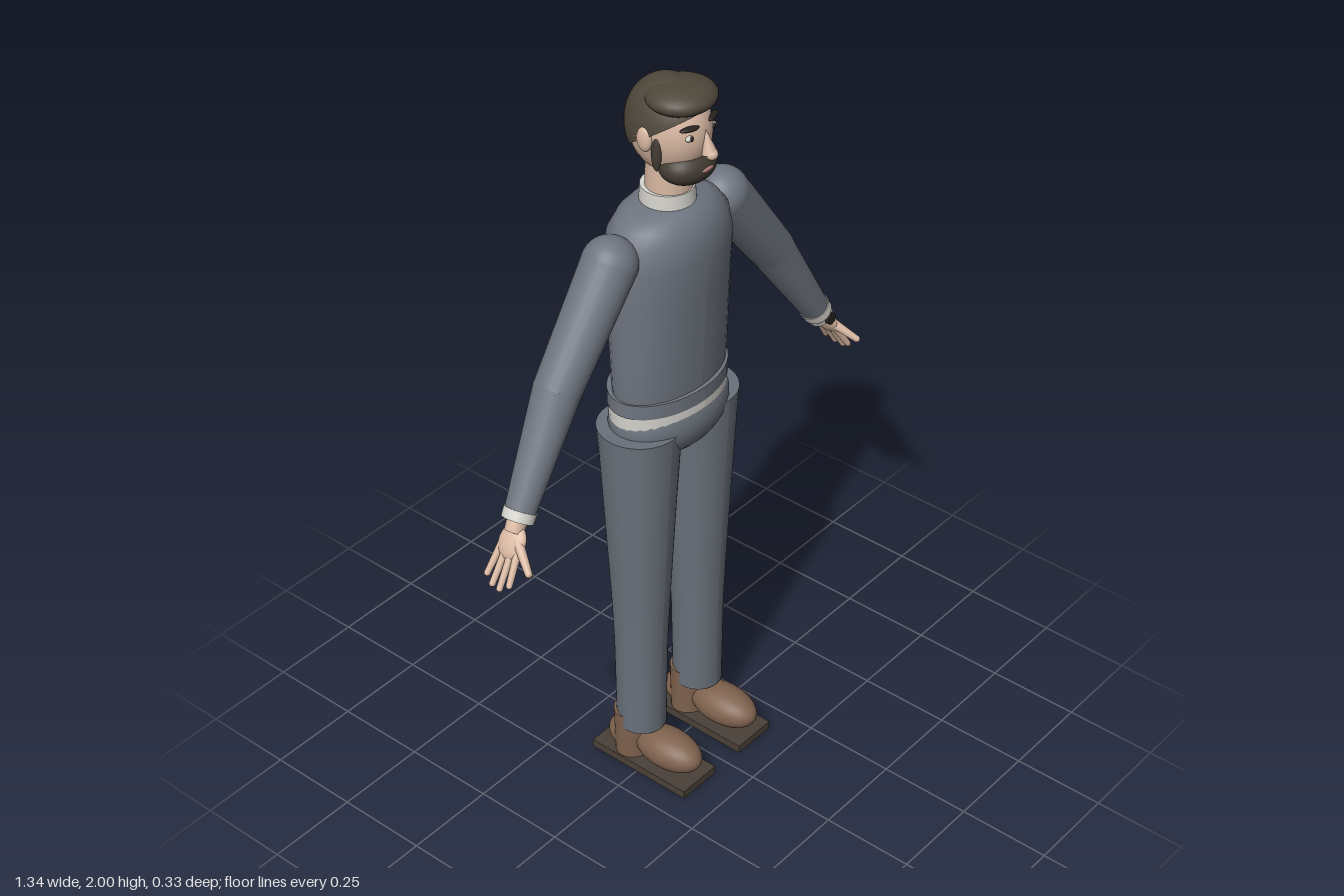
import * as THREE from 'three';

const mat = (name, color) => Object.assign(new THREE.MeshStandardMaterial({ color }), { name });

export function createModel() {
  const M = {
    knit: mat('sweater grey', 0x6f7580),
    cloth: mat('trouser grey', 0x6a717a),
    white: mat('shirt white', 0xd6d4ce),
    skin: mat('skin', 0xd8b8a2),
    hair: mat('hair brown', 0x4f473b),
    beard: mat('beard brown', 0x433b33),
    leather: mat('shoe leather', 0x80634f),
    sole: mat('sole brown', 0x4a4038),
    dark: mat('dark detail', 0x25211e),
    lip: mat('lip', 0xb98078),
  };
  M.hair.side = THREE.DoubleSide;
  const root = new THREE.Group();
  root.name = 'standingMan';
  const V = (x, y, z) => new THREE.Vector3(x, y, z);

  const add = (name, geo, material, pos, parent = root) => {
    const m = new THREE.Mesh(geo, material);
    m.name = name;
    if (pos) m.position.copy(pos);
    parent.add(m);
    return m;
  };
  const ellipsoid = (name, material, c, rx, ry, rz, parent) =>
    add(name, new THREE.SphereGeometry(1, 32, 20).scale(rx, ry, rz), material, c, parent);

  // Stacked elliptical rings [y, rx, rz, cx, cz], from bottom to top, with caps
  const loft = (rings) => {
    const n = rings.length - 1;
    const g = new THREE.CylinderGeometry(1, 1, 1, 36, n);
    const p = g.attributes.position;
    for (let i = 0; i < p.count; i++) {
      const [y, rx, rz, cx, cz] = rings[Math.round((p.getY(i) + 0.5) * n)];
      p.setXYZ(i, p.getX(i) * rx + cx, y, p.getZ(i) * rz + cz);
    }
    g.computeVertexNormals();
    return g;
  };
  // Tapered round bar from a to b
  const bar = (name, material, a, ra, b, rb, parent) => {
    const d = b.clone().sub(a);
    const m = add(name, new THREE.CylinderGeometry(rb, ra, d.length(), 24), material,
      a.clone().lerp(b, 0.5), parent);
    m.quaternion.setFromUnitVectors(V(0, 1, 0), d.normalize());
    return m;
  };

  // Torso
  add('sweater', loft([
    [1.14, 0.172, 0.1, 0, -0.033], [1.2, 0.18, 0.104, 0, -0.033], [1.32, 0.182, 0.111, 0, -0.034],
    [1.45, 0.185, 0.12, 0, -0.036], [1.55, 0.187, 0.127, 0, -0.036], [1.61, 0.175, 0.12, 0, -0.036],
    [1.645, 0.148, 0.104, 0, -0.036], [1.665, 0.115, 0.086, 0, -0.036], [1.672, 0.07, 0.07, 0, -0.036],
  ]), M.knit);
  add('sweaterHem', loft([
    [1.14, 0.183, 0.117, 0, -0.038], [1.18, 0.183, 0.118, 0, -0.038],
  ]), M.knit);
  add('shirtTail', loft([
    [1.09, 0.178, 0.116, 0, -0.037], [1.145, 0.18, 0.117, 0, -0.038],
  ]), M.white);
  ellipsoid('pelvis', M.cloth, V(0, 1.08, -0.035), 0.182, 0.112, 0.122);
  add('collar', new THREE.CylinderGeometry(0.066, 0.069, 0.05, 32), M.white, V(0, 1.685, -0.037));
  add('neck', new THREE.CylinderGeometry(0.056, 0.058, 0.13, 32), M.skin, V(0, 1.74, -0.032));

  // Head, hair and beard
  const head = new THREE.Group();
  head.name = 'head';
  root.add(head);
  ellipsoid('skull', M.skin, V(0, 1.87, -0.03), 0.088, 0.12, 0.108, head);
  add('hairCap', new THREE.SphereGeometry(1, 36, 16, 0, Math.PI * 2, 0, Math.PI / 2)
    .rotateX(-0.54).scale(0.095, 0.127, 0.114), M.hair, V(0, 1.87, -0.03), head);
  ellipsoid('fringe', M.hair, V(0, 1.958, 0.005), 0.088, 0.036, 0.083, head);
  ellipsoid('beard', M.beard, V(0, 1.787, 0.023), 0.077, 0.047, 0.063, head);
  ellipsoid('mouth', M.lip, V(0, 1.792, 0.083), 0.02, 0.006, 0.005, head);
  const bridge = add('noseBridge', new THREE.ConeGeometry(0.019, 0.06, 16), M.skin, V(0, 1.865, 0.083), head);
  bridge.rotation.x = -0.2;
  ellipsoid('noseTip', M.skin, V(0, 1.835, 0.095), 0.015, 0.014, 0.015, head);

  for (const s of [1, -1]) {
    const side = s > 0 ? 'left' : 'right';
    const P = (x, y, z) => V(s * x, y, z);

    // Face details
    ellipsoid(side + 'Ear', M.skin, P(0.09, 1.868, -0.03), 0.012, 0.032, 0.021, head);
    ellipsoid(side + 'Sideburn', M.beard, P(0.081, 1.835, -0.002), 0.009, 0.045, 0.014, head);
    ellipsoid(side + 'Eye', M.white, P(0.04, 1.882, 0.063), 0.013, 0.008, 0.007, head);
    ellipsoid(side + 'Pupil', M.dark, P(0.04, 1.882, 0.068), 0.006, 0.007, 0.004, head);
    const brow = ellipsoid(side + 'Eyebrow', M.dark, P(0.042, 1.907, 0.064), 0.026, 0.006, 0.009, head);
    brow.rotation.y = s * 0.35;

    // Arm with shoulder, elbow and shirt cuff
    const arm = new THREE.Group();
    arm.name = side + 'Arm';
    root.add(arm);
    const shoulder = P(0.205, 1.585, -0.04), elbow = P(0.398, 1.335, -0.037), wrist = P(0.562, 1.08, -0.017);
    const dir = wrist.clone().sub(elbow).normalize();
    const along = (t, z = 0) => wrist.clone().addScaledVector(dir, t).add(V(0, 0, z));
    ellipsoid('shoulder', M.knit, shoulder, 0.069, 0.069, 0.069, arm);
    bar('upperSleeve', M.knit, shoulder, 0.069, elbow, 0.059, arm);
    ellipsoid('elbow', M.knit, elbow, 0.059, 0.059, 0.059, arm);
    bar('lowerSleeve', M.knit, elbow, 0.059, wrist, 0.038, arm);
    bar('cuff', M.white, along(-0.01), 0.041, along(0.016), 0.04, arm);
    bar('wrist', M.skin, along(0), 0.026, along(0.045), 0.024, arm);

    // Hand: flat palm, four fingers and a thumb
    const palm = ellipsoid('palm', M.skin, along(0.068, 0.004), 0.017, 0.044, 0.038, arm);
    palm.quaternion.setFromUnitVectors(V(0, -1, 0), P(0.57, -0.82, 0).normalize());
    [[0.028, 0.166], [0.009, 0.183], [-0.011, 0.18], [-0.031, 0.163]].forEach(([z, len], i) => {
      const tip = along(len, z * 1.2), base = along(0.08, z * 0.85);
      tip.z = -0.007 + z * 1.2;
      base.z = -0.008 + z * 0.85;
      bar('finger' + (i + 1), M.skin, base, 0.01, tip, 0.008, arm);
      ellipsoid('fingertip' + (i + 1), M.skin, tip, 0.008, 0.008, 0.008, arm);
    });
    const thumbTip = P(0.63, 0.985, 0.07);
    bar('thumb', M.skin, P(0.597, 1.03, 0.008), 0.013, thumbTip, 0.009, arm);
    ellipsoid('thumbTip', M.skin, thumbTip, 0.009, 0.009, 0.009, arm);

    // Watch on the left wrist only
    if (s > 0) {
      bar('watchStrap', M.white, along(0.024), 0.036, along(0.038), 0.035, arm);
      bar('watchCase', M.dark, along(0.03, 0.028), 0.016, along(0.03, 0.042), 0.016, arm);
    }

    // Leg
    const leg = new THREE.Group();
    leg.name = side + 'Leg';
    root.add(leg);
    add('trouserLeg', loft([
      [0.125, 0.064, 0.066, s * 0.114, -0.035], [0.4, 0.068, 0.07, s * 0.113, -0.035],
      [0.55, 0.074, 0.077, s * 0.112, -0.035], [0.8, 0.088, 0.09, s * 0.111, -0.036],
      [1.0, 0.1, 0.101, s * 0.11, -0.036], [1.077, 0.105, 0.107, s * 0.11, -0.037],
    ]), M.cloth, null, leg);

    // Shoe
    const shoe = new THREE.Group();
    shoe.name = side + 'Shoe';
    root.add(shoe);
    add('sole', new THREE.BoxGeometry(0.128, 0.023, 0.315), M.sole, P(0.114, 0.0115, 0.0055), shoe);
    ellipsoid('toe', M.leather, P(0.114, 0.072, 0.057), 0.06, 0.052, 0.104, shoe);
    ellipsoid('heel', M.leather, P(0.114, 0.064, -0.078), 0.052, 0.044, 0.056, shoe);
    add('ankle', loft([
      [0.022, 0.06, 0.05, s * 0.114, -0.055], [0.165, 0.066, 0.051, s * 0.114, -0.055],
    ]), M.leather, null, shoe);
  }
  return root;
}
